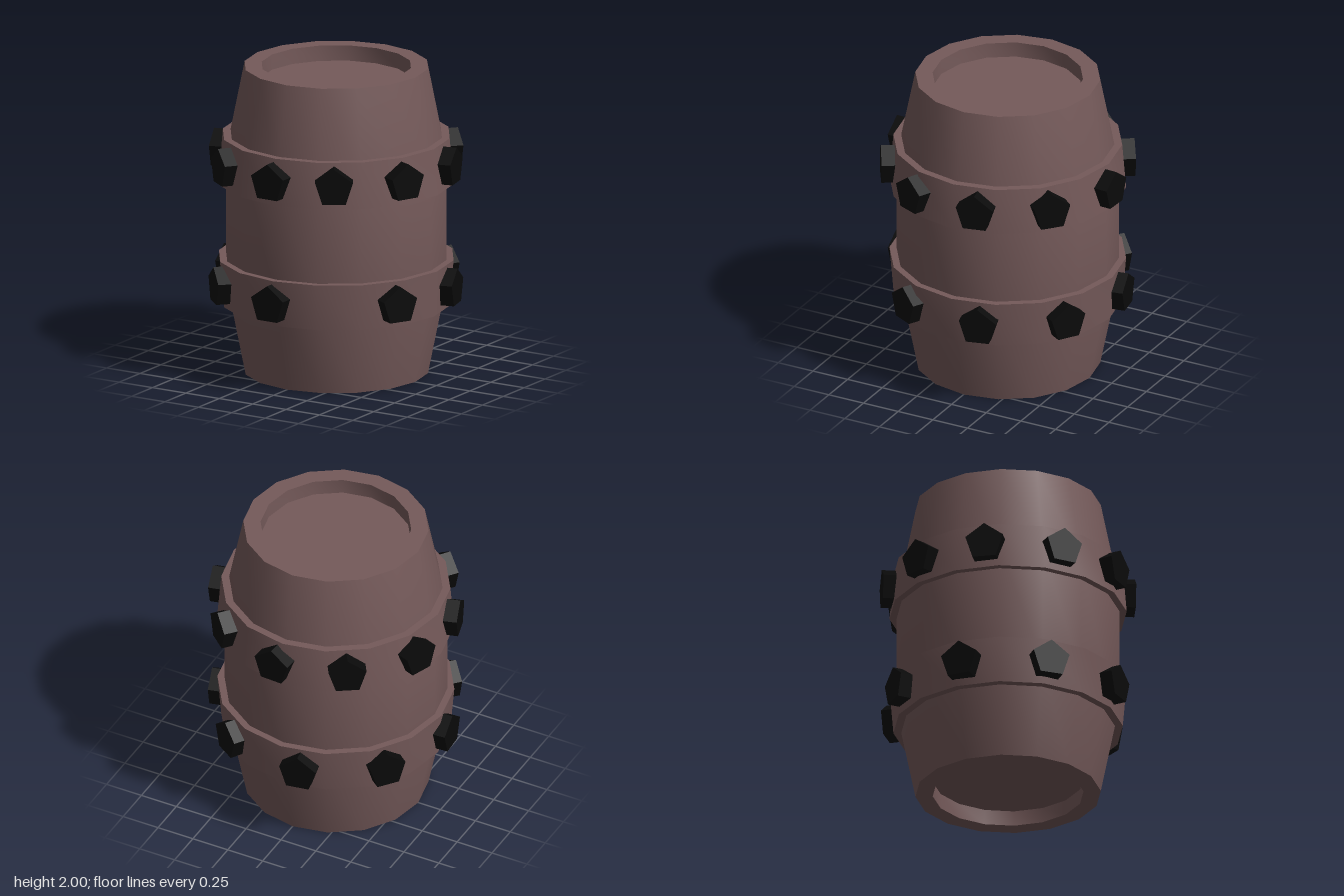
import * as THREE from 'three';
import { toCreasedNormals } from 'three/addons/utils/BufferGeometryUtils.js';

const SIDES = 16;
const wood = new THREE.MeshStandardMaterial({ color: 0x755a5a });
const iron = new THREE.MeshStandardMaterial({ color: 0x0a0a0a, flatShading: true });

// Revolved part, smooth around the barrel and sharp at the rims
function turned(name, profile) {
  const points = profile.map(([r, y]) => new THREE.Vector2(r, y));
  const geometry = toCreasedNormals(new THREE.LatheGeometry(points, SIDES), 0.6);
  const mesh = new THREE.Mesh(geometry, wood);
  mesh.name = name;
  return mesh;
}

// Ring of pentagonal studs, point up, at the given angles from the front
function studRing(name, y, angles) {
  const ring = new THREE.Group();
  ring.name = name;
  const inner = 0.7, outer = 0.807;
  const geometry = new THREE.CylinderGeometry(0.127, 0.127, outer - inner, 5);
  geometry.rotateX(-Math.PI / 2).translate(0, 0, (inner + outer) / 2);
  for (const degrees of angles) {
    const stud = new THREE.Mesh(geometry, iron);
    stud.name = 'stud';
    stud.position.y = y;
    stud.rotation.y = THREE.MathUtils.degToRad(degrees);
    ring.add(stud);
  }
  return ring;
}

export function createModel() {
  const barrel = new THREE.Group();
  barrel.name = 'barrel';

  // Body with a recessed lid at each end, mirrored about y = 1
  const half = [[0, 0.1], [0.48, 0.1], [0.48, 0], [0.59, 0], [0.71, 0.6]];
  const mirrored = half.map(([r, y]) => [r, 2 - y]).reverse();
  barrel.add(turned('body', [...half, ...mirrored]));

  // Two hoops, each wider towards the middle
  const hoop = [[0.66, 0.45], [0.73, 0.45], [0.755, 0.75], [0.66, 0.75]];
  barrel.add(turned('lowerHoop', hoop));
  barrel.add(turned('upperHoop', hoop.map(([r, y]) => [r, 2 - y]).reverse()));

  // Unevenly spaced studs on the hoops
  barrel.add(studRing('lowerStuds', 0.6, [-1, 62.5, 104.5, 147, 190, 232, 274, 317]));
  barrel.add(studRing('upperStuds', 1.4, [-1, 31, 66.5, 103, 139, 177, 213, 250, 286, 323.5]));

  return barrel;
}
